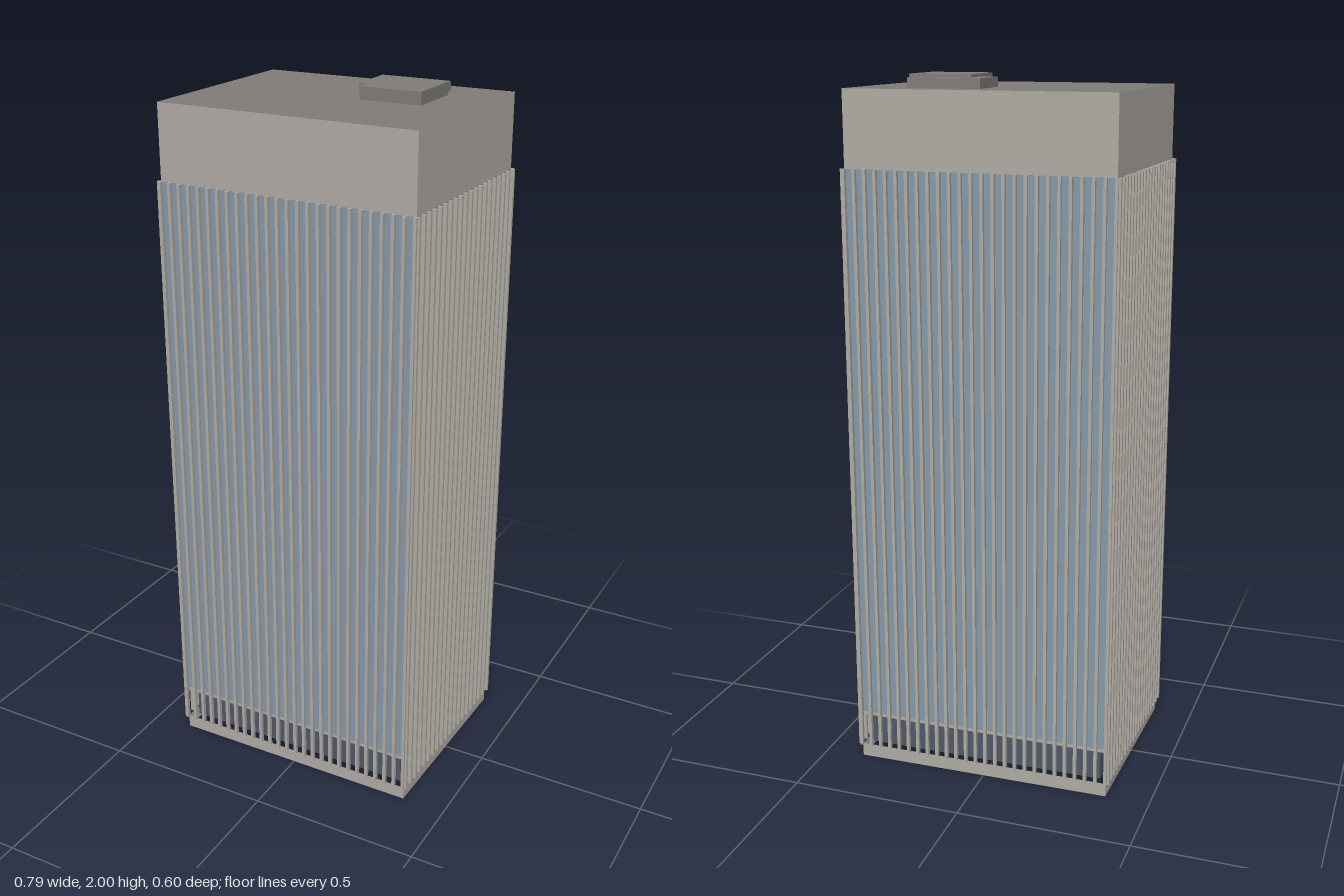
import * as THREE from 'three';
import { mergeGeometries } from 'three/addons/utils/BufferGeometryUtils.js';

// Slightly skewed footprint, [x, z]: front left-hand, front right-hand, back right-hand, back left-hand
const FOOT = [[-0.383, 0.287], [0.371, 0.287], [0.384, -0.289], [-0.371, -0.281]];
const BASE_TOP = 0.04, LOBBY_TOP = 0.138, GLASS_BOTTOM = 0.148, GLASS_TOP = 1.755, ROOF = 1.965;

const inset = (d) => FOOT.map(([x, z]) => [x - Math.sign(x) * d, z - Math.sign(z) * d]);

const material = (name, color) => {
  const m = new THREE.MeshStandardMaterial({ color, side: THREE.DoubleSide });
  m.name = name;
  return m;
};

// Open band of four walls standing on a footprint
function wallBand(foot, y0, y1) {
  const pos = [];
  foot.forEach(([ax, az], i) => {
    const [bx, bz] = foot[(i + 1) % 4];
    pos.push(ax, y0, az, bx, y0, bz, bx, y1, bz, ax, y0, az, bx, y1, bz, ax, y1, az);
  });
  const g = new THREE.BufferGeometry();
  g.setAttribute('position', new THREE.Float32BufferAttribute(pos, 3));
  g.computeVertexNormals();
  return g;
}

// Flat horizontal sheet facing up, with an optional opening
function sheet(foot, y, hole) {
  const points = (f) => f.map(([x, z]) => new THREE.Vector2(x, -z));
  const shape = new THREE.Shape(points(foot));
  if (hole) shape.holes.push(new THREE.Path(points(hole)));
  return new THREE.ShapeGeometry(shape).rotateX(-Math.PI / 2).translate(0, y, 0);
}

// Evenly spaced vertical fins just outside each wall, corner to corner
function finGeometry() {
  const width = 0.009, depth = 0.011, height = GLASS_TOP - BASE_TOP;
  const fins = [];
  FOOT.forEach(([ax, az], i) => {
    const [bx, bz] = FOOT[(i + 1) % 4];
    const dx = bx - ax, dz = bz - az, len = Math.hypot(dx, dz);
    const count = i % 2 ? 19 : 25;
    const nx = -dz / len, nz = dx / len;
    for (let k = 0; k <= count; k++) {
      const t = k / count;
      fins.push(new THREE.BoxGeometry(width, height, depth)
        .rotateY(Math.atan2(-dz, dx))
        .translate(ax + dx * t + nx * depth / 2, BASE_TOP + height / 2, az + dz * t + nz * depth / 2));
    }
  });
  return mergeGeometries(fins);
}

export function createModel() {
  const group = new THREE.Group();
  const stone = material('pale stone', 0xb0aba4);
  const glass = material('blue glass', 0x8599aa);
  const lobbyGlass = material('dark lobby glass', 0x4e5967);
  const roofGrey = material('roof grey', 0x807d78);

  const add = (name, geometry, mat) => {
    const mesh = new THREE.Mesh(geometry, mat);
    mesh.name = name;
    group.add(mesh);
    return mesh;
  };

  // Open base curb and recessed lobby
  const lobby = inset(0.023);
  add('baseCurb', wallBand(FOOT, 0, BASE_TOP), stone);
  add('lobbyWalls', wallBand(lobby, BASE_TOP, LOBBY_TOP), lobbyGlass);
  add('lobbySoffit', sheet(FOOT, LOBBY_TOP, lobby), stone);
  add('lobbyLintel', wallBand(FOOT, LOBBY_TOP, GLASS_BOTTOM), stone);

  // Glazed shaft with fins
  add('glassWalls', wallBand(FOOT, GLASS_BOTTOM, GLASS_TOP), glass);
  add('facadeFins', finGeometry(), stone);

  // Solid crown and roof
  add('crownWalls', wallBand(FOOT, GLASS_TOP, ROOF), stone);
  add('roof', sheet(FOOT, ROOF), roofGrey);

  // Overlapping rooftop plant boxes: x0, x1, z0, z1, top
  [[0.022, 0.228, -0.215, -0.075, 1.992], [0.067, 0.245, -0.158, 0.008, 2]].forEach(([x0, x1, z0, z1, top], i) => {
    const box = new THREE.BoxGeometry(x1 - x0, top - ROOF, z1 - z0);
    add(`rooftopBox${i + 1}`, box, roofGrey).position.set((x0 + x1) / 2, (ROOF + top) / 2, (z0 + z1) / 2);
  });

  return group;
}
